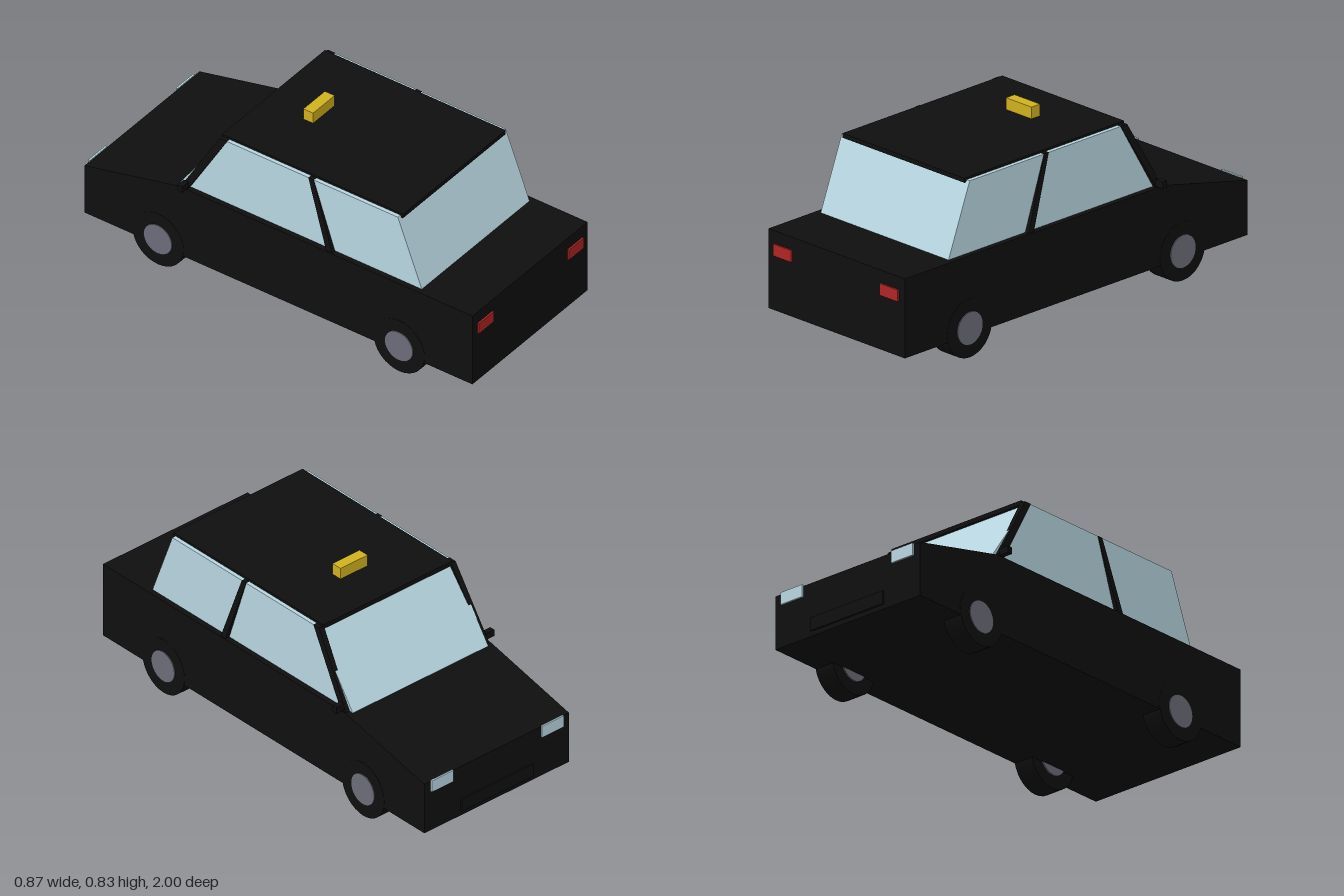
import * as THREE from 'three';

const paint = (name, color) => {
  const m = new THREE.MeshStandardMaterial({ color });
  m.name = name;
  return m;
};

// Prism from a side outline of [z, y] points, centred on x = 0
function sidePrism(points, width) {
  const shape = new THREE.Shape(points.map(([z, y]) => new THREE.Vector2(z, y)));
  const geo = new THREE.ExtrudeGeometry(shape, { depth: width, bevelEnabled: false });
  return geo.translate(0, 0, -width / 2).rotateY(-Math.PI / 2);
}

export function createModel() {
  const car = new THREE.Group();
  car.name = 'taxi';
  const black = paint('blackPaint', 0x0f0f0f);
  const glass = paint('paleBlueGlass', 0xb8d6e1);
  const grey = paint('hubGrey', 0x6c6c7a);
  const yellow = paint('signYellow', 0xcfb11d);
  const red = paint('tailRed', 0xb02424);

  const add = (name, geo, mat, x = 0, y = 0, z = 0) => {
    const mesh = new THREE.Mesh(geo, mat);
    mesh.name = name;
    mesh.position.set(x, y, z);
    car.add(mesh);
    return mesh;
  };
  const box = (w, h, d) => new THREE.BoxGeometry(w, h, d);

  // Lower body with sloping bonnet; the nose points to -z
  add('body', sidePrism([[0.992, 0.098], [0.992, 0.45], [-0.51, 0.45], [-0.992, 0.34], [-0.992, 0.098]], 0.8), black);

  // Glass cabin and roof panel
  add('cabinGlass', sidePrism([[0.715, 0.449], [0.592, 0.767], [-0.3, 0.767], [-0.522, 0.449]], 0.75), glass);
  add('roof', box(0.714, 0.02, 0.925), black, 0, 0.767, 0.143);

  // Door and windscreen pillars, leaning inwards towards the roof
  const pillars = {
    doorPillar: [[0.272, 0.445], [0.162, 0.768], [0.135, 0.768], [0.242, 0.445]],
    windscreenPillar: [[-0.472, 0.445], [-0.28, 0.768], [-0.318, 0.768], [-0.507, 0.445]],
  };
  for (const side of [-1, 1]) {
    for (const [name, outline] of Object.entries(pillars)) {
      const geo = sidePrism(outline, 0.025);
      const p = geo.attributes.position;
      for (let i = 0; i < p.count; i++) {
        const lean = (p.getY(i) - 0.445) / 0.323;
        p.setX(i, p.getX(i) + side * (0.383 - 0.019 * lean));
      }
      geo.computeVertexNormals();
      add(name, geo, black);
    }

    // Mirrors and lamps
    add('mirror', box(0.045, 0.03, 0.025), black, side * 0.414, 0.472, -0.478);
    add('headlight', box(0.12, 0.055, 0.009), glass, side * 0.305, 0.3175, -0.9955);
    add('tailLight', box(0.105, 0.052, 0.009), red, side * 0.3125, 0.367, 0.9955);

    // Wheels, with each hub running through its tyre
    for (const z of [0.618, -0.615]) {
      const tyre = new THREE.CylinderGeometry(0.13, 0.13, 0.095, 32).rotateZ(Math.PI / 2);
      const hub = new THREE.CylinderGeometry(0.072, 0.072, 0.105, 32).rotateZ(Math.PI / 2);
      add('tyre', tyre, black, side * 0.3535, 0.13, z);
      add('hub', hub, grey, side * 0.3525, 0.13, z);
    }
  }

  // Front grille plate and roof sign
  add('grille', box(0.4, 0.06, 0.009), black, 0, 0.15, -0.9955);
  add('roofSign', box(0.15, 0.053, 0.05), yellow, 0, 0.8025, -0.087);

  return car;
}
